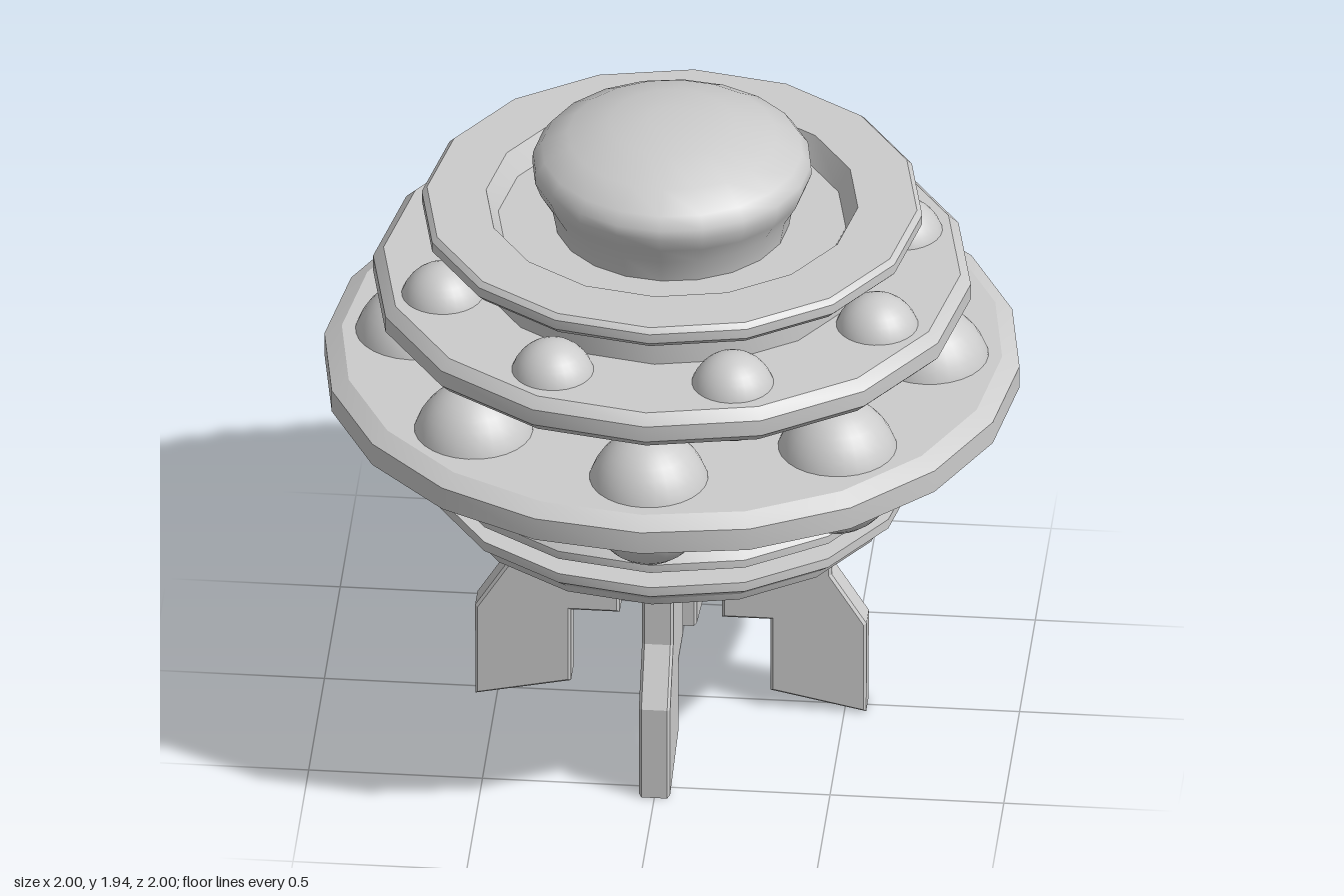
import * as THREE from 'three';
import { toCreasedNormals } from 'three/addons/utils/BufferGeometryUtils.js';

const material = new THREE.MeshStandardMaterial({ color: 0xcccccc });

export function createModel() {
  const model = new THREE.Group();

  const add = (name, geometry, parent = model) => {
    const mesh = new THREE.Mesh(geometry, material);
    mesh.name = name;
    parent.add(mesh);
    return mesh;
  };

  // Turned part from [radius, height] pairs, listed bottom to top
  const turned = (name, sides, profile, crease = 0.42) => {
    const points = profile.map(([r, y]) => new THREE.Vector2(r, y));
    return add(name, toCreasedNormals(new THREE.LatheGeometry(points, sides), crease));
  };

  // Bevelled disc with a solid top and bottom
  const disc = (name, sides, radius, y0, y1, bevel) => turned(name, sides, [
    [0, y0], [radius - bevel, y0], [radius, y0 + 0.03],
    [radius, y1 - 0.03], [radius - bevel, y1], [0, y1],
  ]);

  // Ring of slightly stretched balls
  const ballRing = (name, count, ringRadius, y, r, ry, turn) => {
    const ring = new THREE.Group();
    ring.name = name;
    model.add(ring);
    const geometry = new THREE.SphereGeometry(1, 28, 18);
    for (let i = 0; i < count; i++) {
      const a = turn + (i / count) * Math.PI * 2;
      const ball = add('ball', geometry, ring);
      ball.position.set(ringRadius * Math.cos(a), y, ringRadius * Math.sin(a));
      ball.scale.set(r, ry, r);
    }
  };

  // Stepped base plate
  turned('basePlate', 16, [
    [0, 0.71], [0.645, 0.71], [0.655, 0.735], [0.7, 0.77], [0.7, 0.8], [0, 0.8],
  ]);
  turned('baseNeck', 16, [[0.53, 0.79], [0.53, 0.86]]);

  // Lower collar flaring out below the main body
  turned('collar', 16, [
    [0, 0.85], [0.7, 0.85], [0.7, 0.875], [0.6, 0.985], [0.57, 1.0], [0.56, 1.08],
  ]);

  // Main body and its three discs
  turned('body', 16, [[0.53, 1.05], [0.53, 1.37], [0.565, 1.4], [0.565, 1.63]]);
  disc('largeDisc', 20, 1.0, 1.07, 1.2, 0.05);
  disc('middleDisc', 16, 0.86, 1.36, 1.47, 0.03);
  turned('topRing', 16, [
    [0.5, 1.615], [0.7, 1.615], [0.72, 1.635], [0.72, 1.665], [0.705, 1.68],
    [0.535, 1.68], [0.5, 1.61], [0, 1.61],
  ]);

  // Balls set through the discs
  ballRing('largeBalls', 8, 0.74, 1.135, 0.18, 0.205, 0);
  ballRing('smallBalls', 8, 0.68, 1.425, 0.125, 0.135, THREE.MathUtils.degToRad(25));

  // Domed cap, pinched at its foot
  turned('cap', 20, [
    [0.335, 1.6], [0.35, 1.68], [0.385, 1.74], [0.402, 1.785], [0.4, 1.815],
    [0.375, 1.85], [0.3, 1.895], [0.18, 1.937], [0.07, 1.95], [0, 1.95],
  ], 0.9);

  // Two crossed plates make four feet
  const half = [
    [0.565, 0.715], [0.565, 0.68], [0.455, 0.635], [0.455, 0.46], [0.555, 0.3],
    [0.555, 0.015], [0.295, 0.07], [0.295, 0.31], [0.155, 0.31], [0.155, 0.475],
  ];
  const outline = [...half, ...half.map(([x, y]) => [-x, y]).reverse()];
  const shape = new THREE.Shape(outline.map(([x, y]) => new THREE.Vector2(x, y)));
  const plate = new THREE.ExtrudeGeometry(shape, {
    depth: 0.074, bevelEnabled: true, bevelSize: 0.008, bevelThickness: 0.008, bevelSegments: 1,
  });
  plate.translate(0, 0, -0.037);
  for (let i = 0; i < 2; i++) {
    const legs = new THREE.Group();
    legs.name = 'legPair';
    legs.rotation.y = i * Math.PI / 2;
    model.add(legs);
    add('legPlate', plate, legs);
    add('legFlange', new THREE.BoxGeometry(1.15, 0.03, 0.14), legs).position.y = 0.697;
  }

  return model;
}
